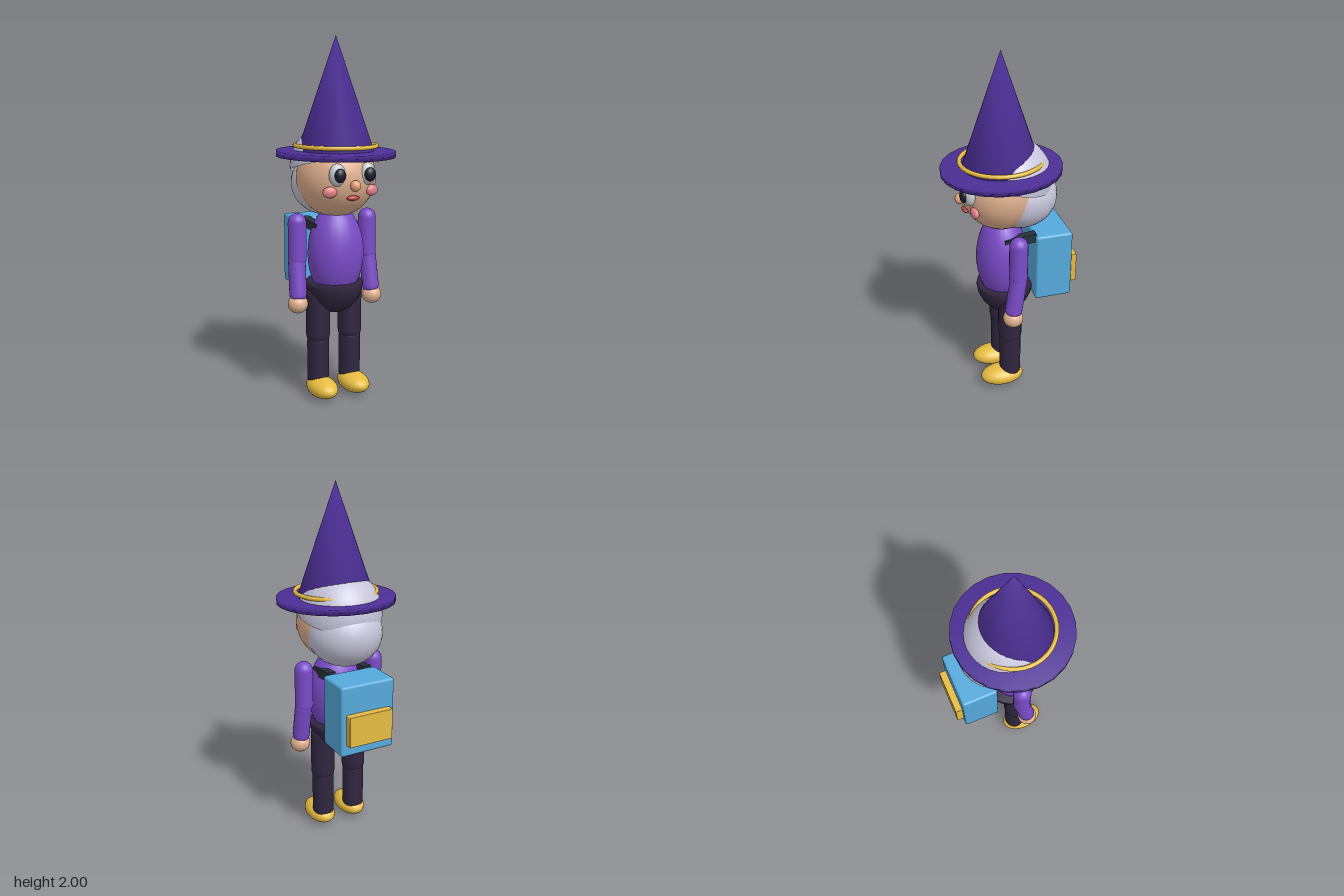
import * as THREE from 'three';
import { mergeVertices } from 'three/addons/utils/BufferGeometryUtils.js';
import { RoundedBoxGeometry } from 'three/addons/geometries/RoundedBoxGeometry.js';

const material = (color) => new THREE.MeshStandardMaterial({ color });
const skin = material(0xdfb08e), noseSkin = material(0xeaa67c), hat = material(0x4c2f96);
const shirt = material(0x7a4bc8), trousers = material(0x30263f), hair = material(0xc6c5da);
const gold = material(0xe6bc42), blue = material(0x55aadc), ink = material(0x1b1a2c);
const eyeWhite = material(0xc8ccd0), blush = material(0xe58387), lip = material(0xb8443f);
const strapGrey = material(0x27333d);

// Normals shared across every edge, for the soft felt look of the hat
function softened(geometry) {
  geometry.deleteAttribute('normal');
  geometry.deleteAttribute('uv');
  const merged = mergeVertices(geometry, 1e-4);
  merged.computeVertexNormals();
  return merged;
}

export function createModel() {
  const figure = new THREE.Group();
  figure.name = 'figure';

  function add(name, geometry, mat, x, y, z) {
    const mesh = new THREE.Mesh(geometry, mat);
    mesh.name = name;
    mesh.position.set(x, y, z);
    figure.add(mesh);
    return mesh;
  }

  // Ellipsoid given by centre and half sizes
  function blob(name, mat, [x, y, z], [rx, ry, rz]) {
    const mesh = add(name, new THREE.SphereGeometry(1, 24, 18), mat, x, y, z);
    mesh.scale.set(rx, ry, rz);
    return mesh;
  }

  // Round-ended limb between two joints
  function limb(name, mat, from, to, radius) {
    const a = new THREE.Vector3(...from), b = new THREE.Vector3(...to);
    const along = b.clone().sub(a);
    const mesh = add(name, new THREE.CapsuleGeometry(radius, along.length(), 6, 20), mat, 0, 0, 0);
    mesh.position.copy(a).add(b).multiplyScalar(0.5);
    mesh.quaternion.setFromUnitVectors(new THREE.Vector3(0, 1, 0), along.normalize());
  }

  // Torso and hips
  blob('torso', shirt, [0, 0.82, 0], [0.16, 0.27, 0.145]);
  const hipProfile = [[0, 0.475], [0.05, 0.484], [0.095, 0.51], [0.132, 0.55], [0.155, 0.6], [0.162, 0.64], [0.158, 0.66], [0, 0.662]];
  add('hips', new THREE.LatheGeometry(hipProfile.map((p) => new THREE.Vector2(...p)), 28), trousers, 0, 0, -0.015);

  // Head and face
  blob('head', skin, [0, 1.245, 0], [0.22, 0.22, 0.22]);
  blob('nose', noseSkin, [0, 1.217, 0.23], [0.028, 0.03, 0.028]);
  blob('mouth', lip, [0, 1.15, 0.203], [0.037, 0.014, 0.018]);

  // Hair: tilted cap and a fuller back
  const cap = add('hairCap', new THREE.SphereGeometry(0.235, 28, 14, 0, Math.PI * 2, 0, Math.PI / 2), hair, 0, 1.3, -0.042);
  cap.rotation.x = -0.24;
  cap.material = hair.clone();
  cap.material.side = THREE.DoubleSide;
  blob('hairBack', hair, [0, 1.205, -0.1], [0.208, 0.185, 0.208]);

  // Mirrored parts
  for (const s of [1, -1]) {
    const side = s > 0 ? 'left' : 'right';
    blob(side + 'Eye', eyeWhite, [s * 0.09, 1.275, 0.195], [0.046, 0.06, 0.035]);
    blob(side + 'Pupil', ink, [s * 0.088, 1.274, 0.228], [0.032, 0.037, 0.022]);
    blob(side + 'Cheek', blush, [s * 0.125, 1.184, 0.18], [0.039, 0.03, 0.02]).rotation.y = s * 0.2;

    limb(side + 'UpperArm', shirt, [s * 0.218, 1.0, -0.035], [s * 0.218, 0.8, -0.033], 0.051);
    limb(side + 'Forearm', shirt, [s * 0.222, 0.78, -0.032], [s * 0.228, 0.605, -0.005], 0.048);
    blob(side + 'Hand', skin, [s * 0.232, 0.552, 0], [0.056, 0.052, 0.056]);

    limb(side + 'Thigh', trousers, [s * 0.1, 0.58, -0.02], [s * 0.1, 0.36, -0.02], 0.068);
    limb(side + 'Shin', trousers, [s * 0.1, 0.32, -0.02], [s * 0.1, 0.1, -0.02], 0.062);
    blob(side + 'Shoe', gold, [s * 0.1, 0.058, 0.03], [0.08, 0.057, 0.128]);

    const strap = add(side + 'Strap', new THREE.BoxGeometry(0.045, 0.05, 0.18), strapGrey, s * 0.11, 0.975, -0.075);
    strap.rotation.x = 0.12;
  }

  // Backpack with rear pocket
  add('backpack', new RoundedBoxGeometry(0.32, 0.4, 0.21, 2, 0.014), blue, 0, 0.8, -0.26);
  add('backpackPocket', new RoundedBoxGeometry(0.26, 0.175, 0.06, 1, 0.004), gold, 0, 0.755, -0.375);

  // Pointed hat
  add('hatCone', softened(new THREE.ConeGeometry(0.21, 0.615, 32, 1)), hat, 0, 1.6925, 0);
  const brim = add('hatBrim', softened(new THREE.CylinderGeometry(0.327, 0.327, 0.032, 24)), hat, 0, 1.373, 0);
  brim.rotation.x = 0.025;
  const band = add('hatBand', new THREE.TorusGeometry(0.223, 0.012, 10, 40), gold, 0, 1.416, 0);
  band.rotation.x = Math.PI / 2 + 0.02;

  // Whole figure turned towards its left
  figure.rotation.y = 1.263;
  figure.position.x = 0.046;
  const model = new THREE.Group();
  model.name = 'model';
  model.add(figure);
  return model;
}
